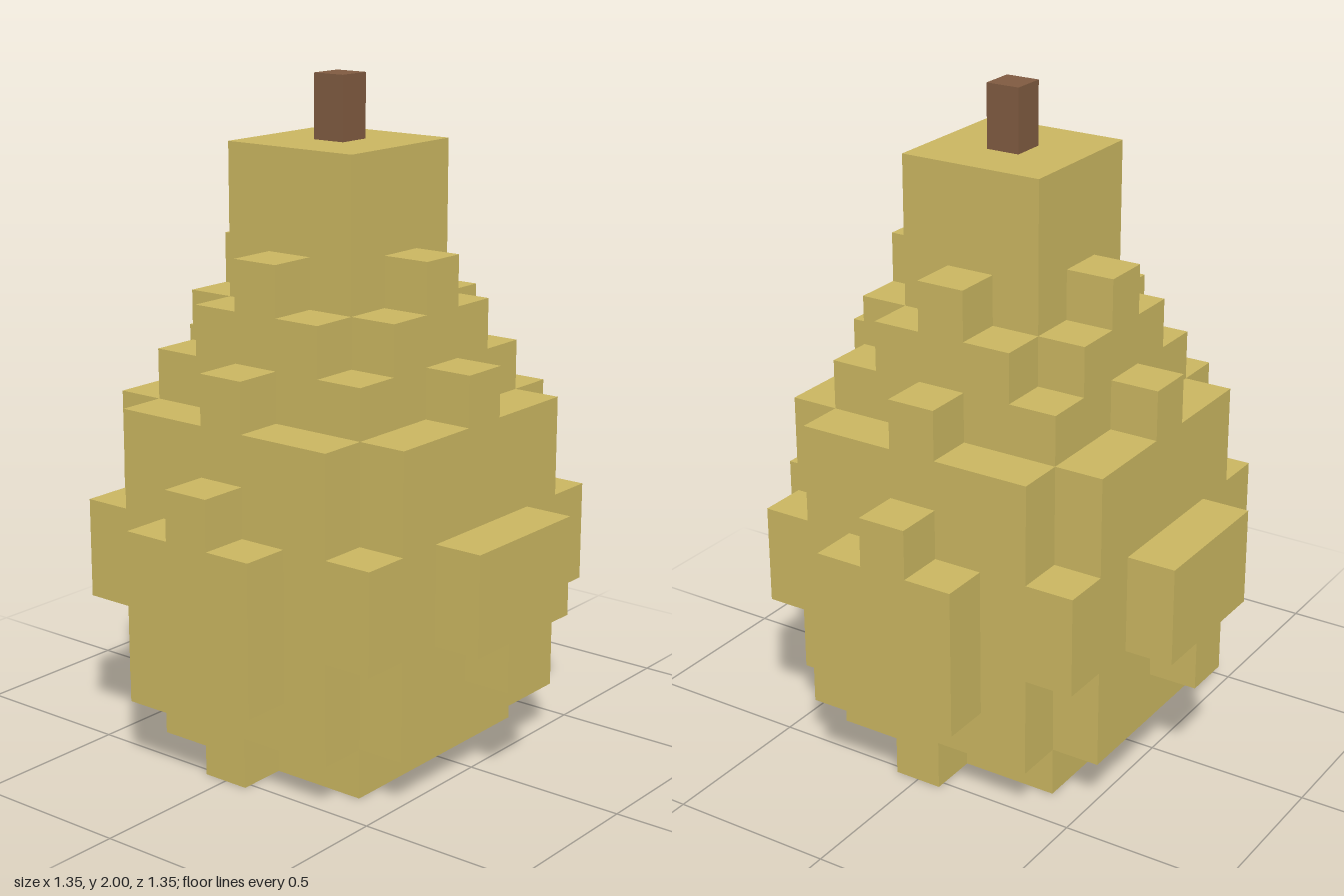
import * as THREE from 'three';
import { mergeGeometries } from 'three/addons/utils/BufferGeometryUtils.js';

const CELL = 0.15;    // block width and depth
const RISE = 0.1508;  // block height

// Each layer, bottom to top, is a union of rectangles [half x, half z] counted in blocks from the centre block.
const cross = [[3, 2], [2, 3]];
const layers = [
  [[2, 2], [3, 0]],                  // foot
  cross,
  [...cross, [4, 1], [0, 4]],
  [[3, 3], [4, 1], [1, 4]],          // widest part
  [[3, 3], [4, 1], [1, 4]],
  [...cross, [4, 0]],
  cross,
  [[2, 2], [3, 0], [0, 3]],          // shoulder
  [[2, 1], [1, 2]],
  [[1, 1], [2, 0], [0, 2]],
  [[1, 1]],                          // neck
  [[1, 1]],
];

const filled = (x, y, z) =>
  (layers[y] ?? []).some(([a, b]) => Math.abs(x) <= a && Math.abs(z) <= b);

// One block face pointing along each axis direction
function blockFace([dx, dy, dz]) {
  const face = new THREE.PlaneGeometry(1, 1);
  face.translate(0, 0, 0.5);
  if (dy) face.rotateX(-dy * Math.PI / 2);
  else face.rotateY(Math.atan2(dx, dz));
  return face;
}

// Only the exposed faces of the stacked blocks
function fruitGeometry() {
  const directions = [[1, 0, 0], [-1, 0, 0], [0, 1, 0], [0, -1, 0], [0, 0, 1], [0, 0, -1]];
  const faces = directions.map(blockFace);
  const parts = [];
  for (let y = 0; y < layers.length; y++)
    for (let x = -4; x <= 4; x++)
      for (let z = -4; z <= 4; z++) {
        if (!filled(x, y, z)) continue;
        directions.forEach(([dx, dy, dz], i) => {
          if (!filled(x + dx, y + dy, z + dz))
            parts.push(faces[i].clone().translate(x, y + 0.5, z));
        });
      }
  return mergeGeometries(parts).scale(CELL, RISE, CELL);
}

export function createModel() {
  const skin = new THREE.MeshStandardMaterial({ color: 0xc9b560 });
  skin.name = 'pearSkin';
  const wood = new THREE.MeshStandardMaterial({ color: 0x7f5a40 });
  wood.name = 'stemBrown';

  const group = new THREE.Group();
  group.name = 'blockPear';

  const fruit = new THREE.Mesh(fruitGeometry(), skin);
  fruit.name = 'fruit';

  // Stem, standing on the neck slightly off centre
  const top = layers.length * RISE;
  const stem = new THREE.Mesh(new THREE.BoxGeometry(0.105, 2 - top, 0.105), wood);
  stem.name = 'stem';
  stem.position.set(0.007, (2 + top) / 2, -0.002);

  group.add(fruit, stem);
  return group;
}
